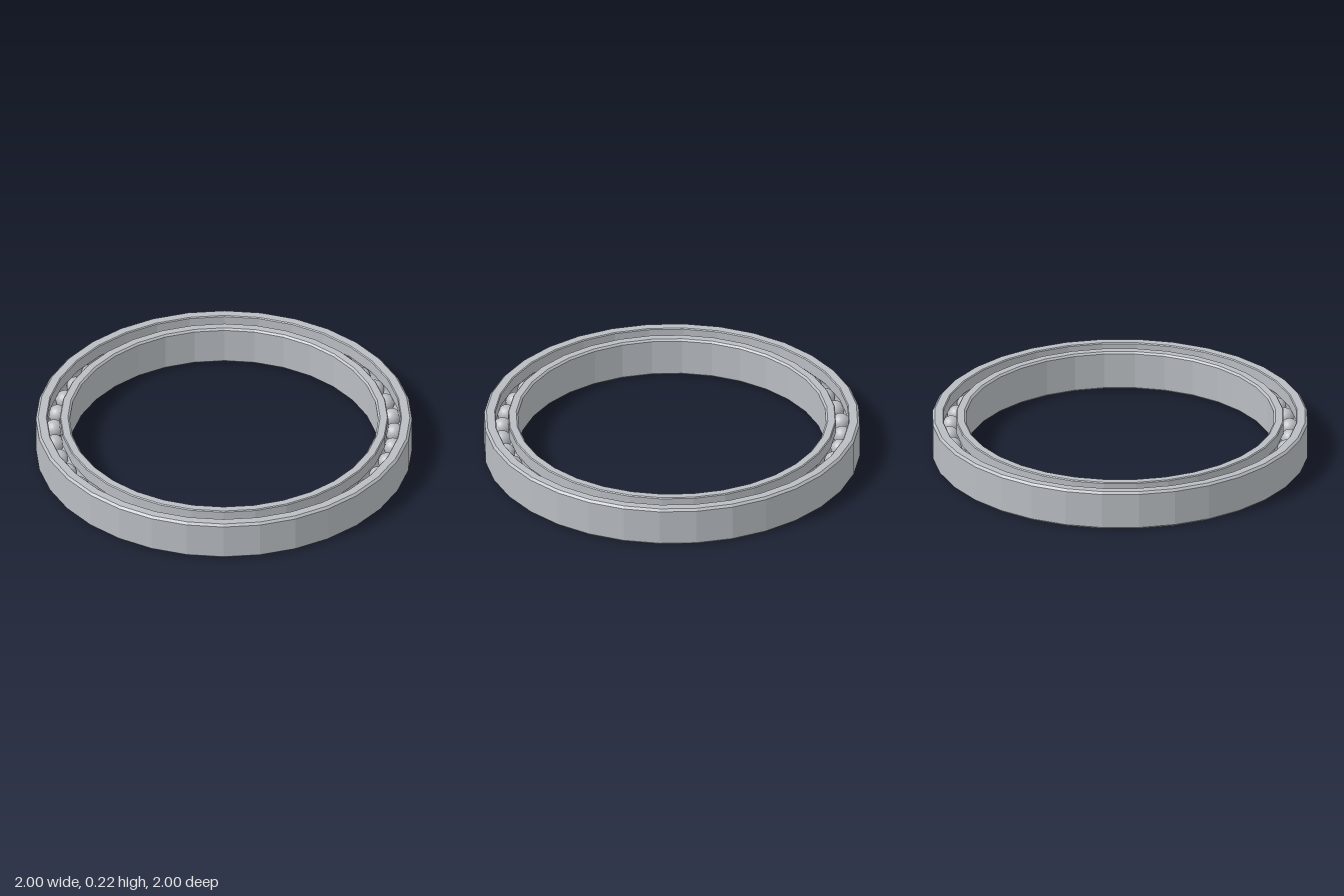
import * as THREE from 'three';

const HEIGHT = 0.216, MID = HEIGHT / 2;
const SIDES = 32, BALLS = 41;
const PITCH = 0.905, BALL_R = 0.049, GROOVE_R = 0.052;

// Raceway arc cut into a wall at radius wall, listed from bottom to top
function raceway(wall) {
  const dx = wall - PITCH;
  const half = Math.acos(Math.abs(dx) / GROOVE_R);
  const points = [];
  for (let i = 0; i <= 6; i++) {
    const a = -half + (2 * half * i) / 6;
    points.push([PITCH + Math.sign(dx) * GROOVE_R * Math.cos(a), MID + GROOVE_R * Math.sin(a)]);
  }
  return points;
}

// Faceted ring with chamfered rims and a raceway on one wall
function ring(name, inner, outer, grooveOutside, innerBevel, outerBevel, material) {
  const outerGroove = grooveOutside ? raceway(outer) : [];
  const innerGroove = grooveOutside ? [] : raceway(inner).reverse();
  const profile = [
    [inner + innerBevel, 0], [outer - outerBevel, 0], [outer, outerBevel],
    ...outerGroove,
    [outer, HEIGHT - outerBevel], [outer - outerBevel, HEIGHT],
    [inner + innerBevel, HEIGHT], [inner, HEIGHT - innerBevel],
    ...innerGroove,
    [inner, innerBevel], [inner + innerBevel, 0],
  ].map(([r, y]) => new THREE.Vector2(r, y));
  const geometry = new THREE.LatheGeometry(profile, SIDES).toNonIndexed();
  geometry.computeVertexNormals();
  const mesh = new THREE.Mesh(geometry, material);
  mesh.name = name;
  return mesh;
}

export function createModel() {
  const steel = new THREE.MeshStandardMaterial({ color: 0xb9bdc2 });
  steel.name = 'steel';

  const model = new THREE.Group();
  model.name = 'ballBearing';
  model.add(ring('outerRace', 0.94, 1, false, 0.005, 0.012, steel));
  model.add(ring('innerRace', 0.82, 0.873, true, 0.01, 0.005, steel));

  // Balls spaced evenly between the races
  const balls = new THREE.Group();
  balls.name = 'balls';
  const ballGeometry = new THREE.SphereGeometry(BALL_R, 24, 16);
  for (let i = 0; i < BALLS; i++) {
    const a = (i / BALLS) * Math.PI * 2;
    const ball = new THREE.Mesh(ballGeometry, steel);
    ball.name = 'ball';
    ball.position.set(PITCH * Math.cos(a), MID, PITCH * Math.sin(a));
    balls.add(ball);
  }
  model.add(balls);
  return model;
}
